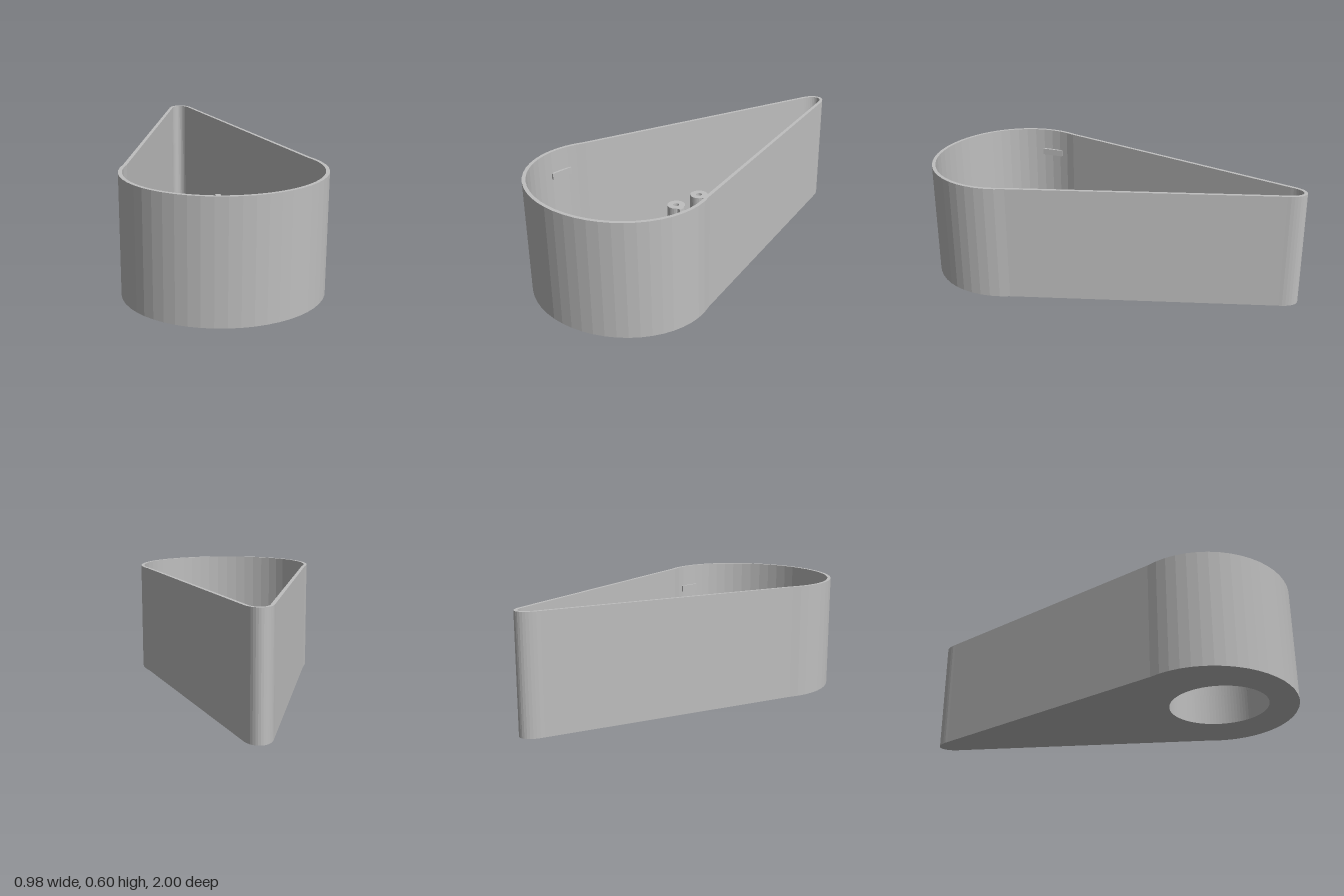
import * as THREE from 'three';

const FLOOR = 0.02;
const WALL = 0.018;

export function createModel() {
  const model = new THREE.Group();
  const grey = new THREE.MeshStandardMaterial({ color: 0xbfbfbf });
  grey.name = 'grey plastic';

  const add = (name, geometry) => {
    const mesh = new THREE.Mesh(geometry, grey);
    mesh.name = name;
    model.add(mesh);
    return mesh;
  };

  // Raises a plan drawn as (x, -z) from height y0 to y1
  const raise = (shape, y0, y1, curveSegments = 24) =>
    new THREE.ExtrudeGeometry(shape, { depth: y1 - y0, bevelEnabled: false, curveSegments })
      .rotateX(-Math.PI / 2)
      .translate(0, y0, 0);

  // Teardrop plan, drawn inset from the outside by t: wide front arc and narrow rear tip
  const teardrop = (t) => {
    const points = [];
    const arc = (z, rx, rz, from, to, n) => {
      for (let i = 0; i <= n; i++) {
        const a = from + ((to - from) * i) / n;
        points.push(new THREE.Vector2(Math.cos(a) * (rx - t), -z + Math.sin(a) * (rz - t)));
      }
    };
    const f = 0.38, b = 0.35;
    arc(0.57, 0.49, 0.43, -Math.PI - f, f, 32);
    arc(-0.87, 0.076, 0.13, b, Math.PI - b, 16);
    return points;
  };

  const circle = (x, z, r) => new THREE.Path().absarc(x, -z, r, 0, Math.PI * 2, true);
  const disc = (x, z, r) => new THREE.Shape().absarc(x, -z, r, 0, Math.PI * 2, false);

  // Outer wall
  const wall = new THREE.Shape(teardrop(0));
  wall.holes.push(new THREE.Path(teardrop(WALL)));
  add('outerWall', raise(wall, 0, 0.6));

  // Floor with the round opening
  const holeZ = 0.61, holeR = 0.247, collarR = 0.265;
  const floor = new THREE.Shape(teardrop(WALL / 2));
  floor.holes.push(circle(0, holeZ, holeR));
  add('floor', raise(floor, 0, FLOOR, 48));

  // Collar around the opening, with a notch at its front and back
  const collar = disc(0, holeZ, collarR);
  collar.holes.push(circle(0, holeZ, holeR));
  add('collar', raise(collar, FLOOR / 2, 0.16, 48));
  const gap = 0.08;
  for (const side of [-1, 1]) {
    const start = (side > 0 ? -Math.PI / 2 : Math.PI / 2) + gap;
    const end = start + Math.PI - 2 * gap;
    const half = new THREE.Shape();
    half.absarc(0, -holeZ, collarR, start, end, false);
    half.absarc(0, -holeZ, holeR, end, start, true);
    add('collarRim', raise(half, 0.16, 0.235));
  }

  // Screw posts
  for (const z of [0, -0.18]) {
    for (const x of [-0.195, 0.195]) {
      const post = disc(x, z, 0.05);
      post.holes.push(circle(x, z, 0.017));
      add('screwPost', raise(post, FLOOR, 0.175, 12));
    }
  }

  // Cradles with a half-round hollow
  const cradle = (z, halfWidth) => {
    const top = 0.175, r = 0.135;
    const s = new THREE.Shape();
    s.moveTo(halfWidth, FLOOR);
    s.lineTo(halfWidth, top);
    s.lineTo(r, top);
    s.absarc(0, top, r, 0, -Math.PI, true);
    s.lineTo(-halfWidth, top);
    s.lineTo(-halfWidth, FLOOR);
    const g = new THREE.ExtrudeGeometry(s, { depth: 0.034, bevelEnabled: false, curveSegments: 24 });
    add('cradle', g.translate(0, 0, z - 0.017));
  };
  cradle(0.012, 0.155);
  cradle(-0.18, 0.155);
  cradle(-0.408, 0.166);

  // Small catches inside the wide end
  for (const side of [-1, 1]) {
    add('catch', new THREE.BoxGeometry(0.02, 0.035, 0.12)).position.set(side * 0.468, 0.467, 0.56);
  }

  return model;
}
